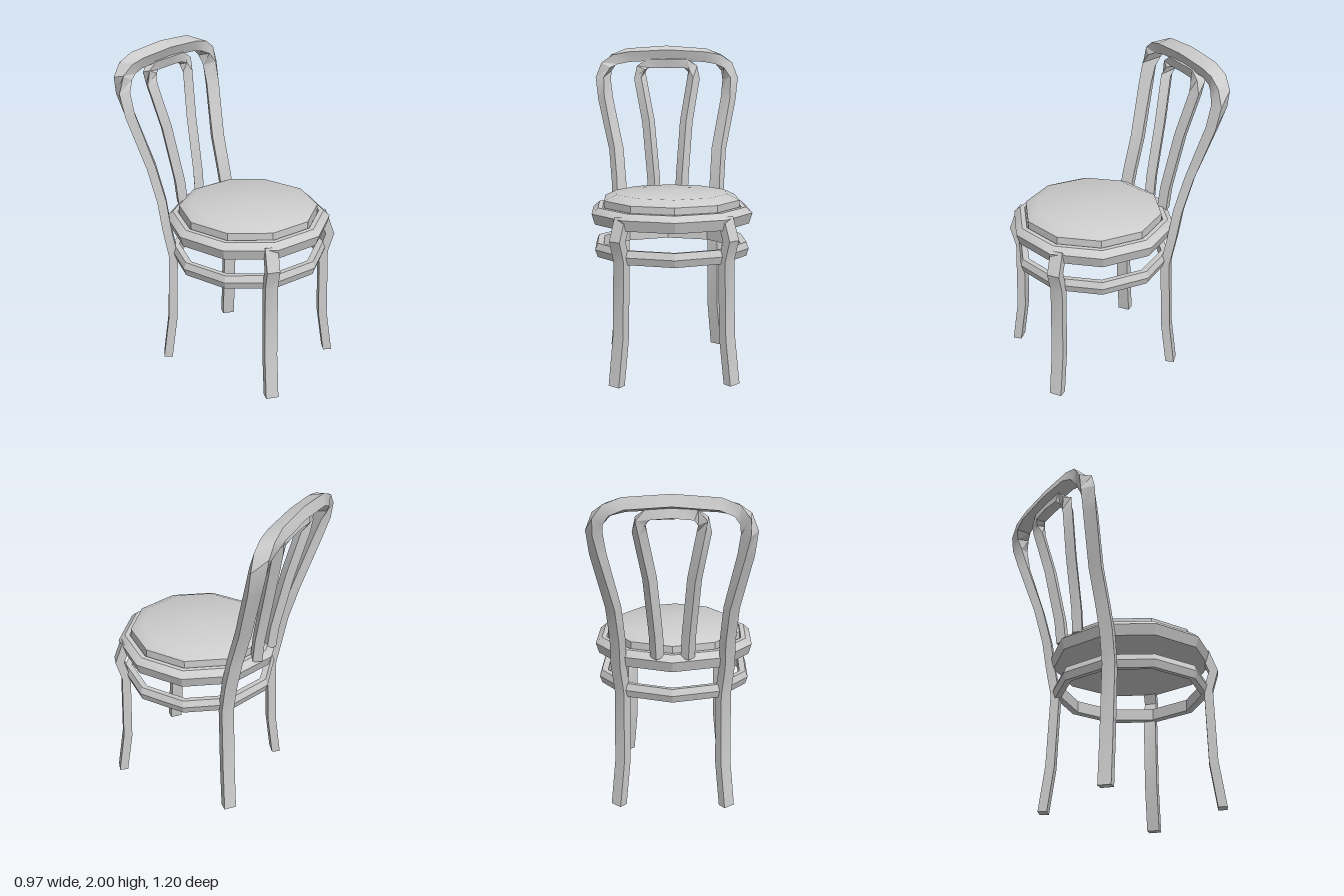
import * as THREE from 'three';
import { toCreasedNormals } from 'three/addons/utils/BufferGeometryUtils.js';

const paint = new THREE.MeshStandardMaterial({ color: 0xcccccc });
paint.name = 'light grey';

const SEAT_Z = 0.09;              // centre of the seat
const RX = 0.64, RZ = 0.77;       // radial direction of the legs

function part(name, geometry, crease = 0.55) {
  const mesh = new THREE.Mesh(toCreasedNormals(geometry, crease), paint);
  mesh.name = name;
  return mesh;
}

// Ten-sided turned part around the seat centre
function turned(name, profile) {
  const geometry = new THREE.LatheGeometry(profile.map(([r, y]) => new THREE.Vector2(r, y)), 10);
  const mesh = part(name, geometry);
  mesh.position.z = SEAT_Z;
  return mesh;
}

// Rectangular bar swept through stations { p: centre, o: outward direction, a: depth along o, b: width }
function bar(name, stations) {
  const pos = [], idx = [], n = stations.length;
  const P = stations.map((s) => new THREE.Vector3(...s.p));
  stations.forEach((s, i) => {
    const t = new THREE.Vector3();
    if (i > 0) t.add(P[i].clone().sub(P[i - 1]).normalize());
    if (i < n - 1) t.add(P[i + 1].clone().sub(P[i]).normalize());
    if (s.p[1] === 0) t.set(0, Math.sign(t.y), 0);   // feet are cut flat
    t.normalize();
    const o = new THREE.Vector3(...s.o);
    o.addScaledVector(t, -o.dot(t)).normalize();
    const w = t.clone().cross(o);
    for (const [u, v] of [[1, 1], [-1, 1], [-1, -1], [1, -1]]) {
      const c = P[i].clone().addScaledVector(o, u * s.a / 2).addScaledVector(w, v * s.b / 2);
      pos.push(c.x, c.y, c.z);
    }
  });
  for (let i = 0; i < n - 1; i++) {
    for (let k = 0; k < 4; k++) {
      const a = i * 4 + k, b = i * 4 + (k + 1) % 4;
      idx.push(a, b, b + 4, a, b + 4, a + 4);
    }
  }
  const e = (n - 1) * 4;
  idx.push(0, 2, 1, 0, 3, 2, e, e + 1, e + 2, e, e + 2, e + 3);
  const geometry = new THREE.BufferGeometry();
  geometry.setAttribute('position', new THREE.Float32BufferAttribute(pos, 3));
  geometry.setIndex(idx);
  return part(name, geometry);
}

// Completes a half hoop that ends on x = 0
function mirrored(half) {
  const flip = ([x, y, z]) => [-x, y, z];
  const other = half.slice(0, -1).reverse().map((s) => ({ ...s, p: flip(s.p), o: flip(s.o) }));
  return [...half, ...other];
}

export function createModel() {
  const chair = new THREE.Group();
  chair.name = 'chair';

  // Seat
  chair.add(turned('seatFrame', [
    [0, 0.92], [0.49, 0.92], [0.51, 0.985], [0.47, 1.02], [0.44, 1.02], [0.435, 1.0], [0, 1.0],
  ]));
  chair.add(turned('seatCushion', [[0.43, 1.0], [0.43, 1.06], [0.355, 1.095], [0, 1.103]]));

  // Ring brace between the legs
  chair.add(turned('ringBrace', [
    [0.435, 0.725], [0.475, 0.72], [0.49, 0.765], [0.475, 0.805], [0.435, 0.8], [0.435, 0.725],
  ]));

  // Front legs: [radius from seat centre, height]
  const legPath = [[0.531, 0], [0.49, 0.28], [0.478, 0.74], [0.514, 0.86], [0.465, 0.99]];
  for (const side of [1, -1]) {
    chair.add(bar(side > 0 ? 'frontLegLeft' : 'frontLegRight', legPath.map(([r, y]) => ({
      p: [side * RX * r, y, SEAT_Z + RZ * r], o: [side * RX, 0, RZ], a: 0.055, b: 0.078,
    }))));
  }

  // Back legs and outer hoop in one bent bar
  const radial = [-RX, 0, -RZ];
  const post = (x, y, z) => ({ p: [x, y, z], o: radial, a: 0.055, b: 0.078 });
  chair.add(bar('backLegsAndOuterHoop', mirrored([
    post(-0.338, 0, -0.315),
    post(-0.312, 0.28, -0.288),
    post(-0.306, 0.74, -0.272),
    post(-0.325, 0.93, -0.303),
    post(-0.325, 1.1, -0.335),
    post(-0.342, 1.32, -0.395),
    { p: [-0.412, 1.65, -0.485], o: [-0.7, 0, -0.7], a: 0.06, b: 0.08 },
    { p: [-0.427, 1.78, -0.515], o: [-0.78, 0.1, -0.55], a: 0.065, b: 0.085 },
    { p: [-0.405, 1.86, -0.53], o: [-0.8, 0.5, -0.2], a: 0.068, b: 0.088 },
    { p: [-0.35, 1.91, -0.54], o: [-0.45, 0.85, 0.1], a: 0.07, b: 0.09 },
    { p: [-0.26, 1.937, -0.543], o: [-0.15, 0.94, 0.28], a: 0.07, b: 0.09 },
    { p: [0, 1.953, -0.543], o: [0, 0.94, 0.33], a: 0.07, b: 0.09 },
  ])));

  // Inner hoop
  const inner = (x, y, z, o) => ({ p: [x, y, z], o, a: 0.06, b: 0.06 });
  const diagonal = [-0.77, 0, -0.64];
  chair.add(bar('innerHoop', mirrored([
    inner(-0.09, 1.0, -0.36, diagonal),
    inner(-0.097, 1.15, -0.375, diagonal),
    inner(-0.127, 1.5, -0.443, diagonal),
    inner(-0.178, 1.78, -0.505, diagonal),
    inner(-0.173, 1.845, -0.52, [-0.85, 0.5, -0.2]),
    inner(-0.13, 1.882, -0.53, [-0.4, 0.9, 0.1]),
    inner(0, 1.888, -0.53, [0, 0.96, 0.25]),
  ])));

  return chair;
}
